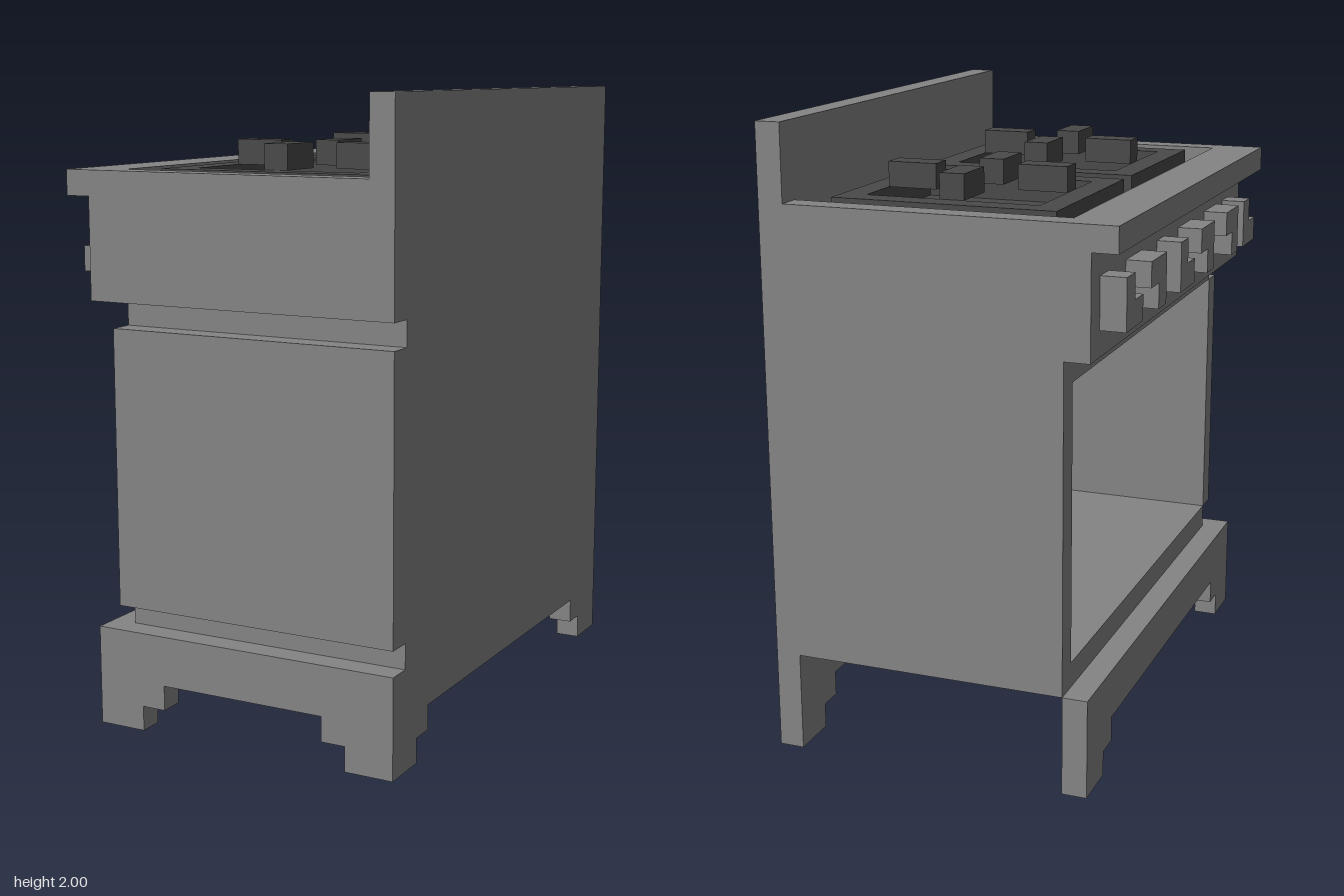
import * as THREE from 'three';

const U = 0.08; // panel thickness

export function createModel() {
  const model = new THREE.Group();
  model.name = 'stove';
  const enamel = new THREE.MeshStandardMaterial({ color: 0x848484 });
  enamel.name = 'grey enamel';
  const iron = new THREE.MeshStandardMaterial({ color: 0x4a4a4a });
  iron.name = 'dark iron';

  // Box given by its limits on each axis
  function box(name, x0, x1, y0, y1, z0, z1, material = enamel, parent = model) {
    const mesh = new THREE.Mesh(new THREE.BoxGeometry(x1 - x0, y1 - y0, z1 - z0), material);
    mesh.position.set((x0 + x1) / 2, (y0 + y1) / 2, (z0 + z1) / 2);
    mesh.name = name;
    parent.add(mesh);
    return mesh;
  }

  // Skirt board with stepped feet, centred on its length
  function skirt(name, length) {
    const h = length / 2;
    const half = [[h, 0.32], [h, 0], [h - 0.16, 0], [h - 0.16, U], [h - 0.24, U], [h - 0.24, 0.16]];
    const points = [...half, ...half.map(([x, y]) => [-x, y]).reverse()];
    const shape = new THREE.Shape(points.map(([x, y]) => new THREE.Vector2(x, y)));
    const geometry = new THREE.ExtrudeGeometry(shape, { depth: U, bevelEnabled: false });
    geometry.translate(0, 0, -U / 2);
    const mesh = new THREE.Mesh(geometry, enamel);
    mesh.name = name;
    model.add(mesh);
    return mesh;
  }

  // Base: three skirts, open on the -z side
  skirt('sideSkirt', 1.04).position.set(0.04, 0, 0.80);
  for (const [name, x] of [['doorSkirt', -0.44], ['backSkirt', 0.52]]) {
    const board = skirt(name, 1.68);
    board.rotation.y = Math.PI / 2;
    board.position.x = x;
  }

  // Oven: floor and ceiling stop short on +z, leaving grooves
  box('ovenFloor', -0.40, 0.56, 0.32, 0.40, -0.84, 0.76);
  box('ovenCeiling', -0.40, 0.56, 1.28, 1.36, -0.84, 0.76);
  box('plainSideWall', -0.40, 0.56, 0.40, 1.28, -0.84, -0.76);
  box('groovedSideWall', -0.40, 0.56, 0.40, 1.28, 0.76, 0.84);
  box('ovenBack', 0.48, 0.56, 0.40, 1.28, -0.76, 0.76);

  // Control section, sunken worktop with rim, and splashback
  box('controlSection', -0.48, 0.56, 1.36, 1.68, -0.84, 0.84);
  box('worktopLip', -0.56, -0.40, 1.68, 1.76, -0.84, 0.84);
  for (const z of [-0.84, 0.76]) box('worktopRim', -0.40, 0.48, 1.68, 1.76, z, z + U);
  box('splashback', 0.48, 0.56, 1.68, 2.00, -0.84, 0.84);

  // Knobs: L shaped and hook shaped, listed by grid column
  const knobs = [[1, 'L'], [4, 'hook'], [8, 'L'], [11, 'hook'], [15, 'hook'], [18, 'L']];
  for (const [column, kind] of knobs) {
    const z = -0.84 + column * U;
    const knob = new THREE.Group();
    knob.name = 'knob';
    model.add(knob);
    const stem = kind === 'L' ? z : z + U;
    const side = kind === 'L' ? z + U : z;
    const y = kind === 'L' ? 1.44 : 1.52;
    box('knobStem', -0.56, -0.48, 1.44, 1.60, stem, stem + U, enamel, knob);
    box('knobTip', -0.56, -0.48, y, y + U, side, side + U, enamel, knob);
  }

  // Two burner grates: pan, frame and four prongs
  for (const z of [-0.68, 0.04]) {
    const grate = new THREE.Group();
    grate.name = 'burnerGrate';
    grate.position.z = z;
    model.add(grate);
    box('pan', -0.24, 0.32, 1.676, 1.684, 0.08, 0.56, iron, grate);
    for (const x of [-0.32, 0.32]) box('frameBar', x, x + U, 1.68, 1.76, 0, 0.64, iron, grate);
    for (const d of [0, 0.56]) box('frameBar', -0.24, 0.32, 1.68, 1.76, d, d + U, iron, grate);
    for (const d of [0.08, 0.40]) box('prong', 0, 0.08, 1.76, 1.84, d, d + 0.16, iron, grate);
    // the cross prongs mirror between the two grates
    const [a, b] = z < 0 ? [0.32, 0.24] : [0.24, 0.32];
    box('prong', -0.24, -0.08, 1.76, 1.84, a, a + U, iron, grate);
    box('prong', 0.16, 0.32, 1.76, 1.84, b, b + U, iron, grate);
  }
  return model;
}
